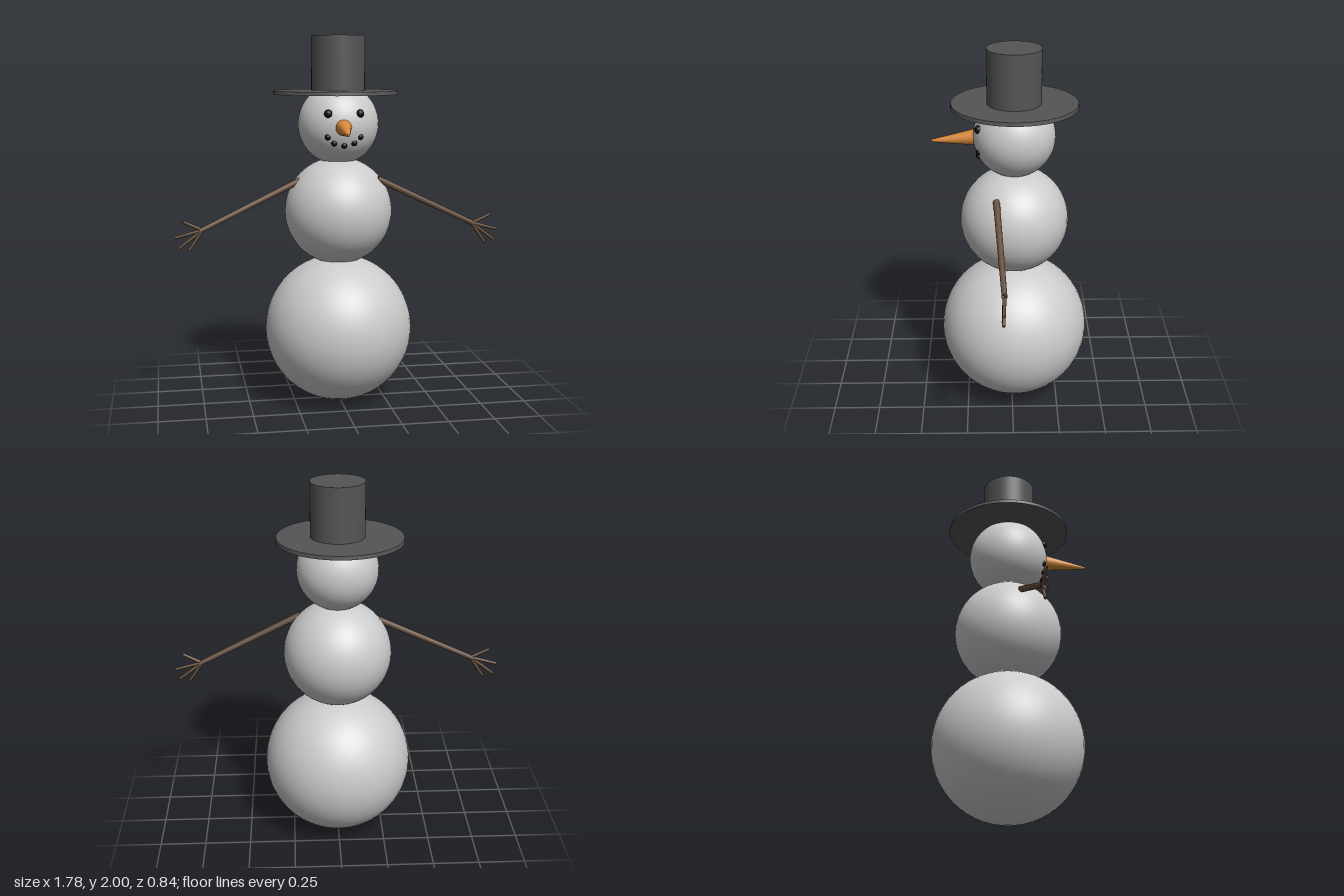
import * as THREE from 'three';

const material = (color) => new THREE.MeshStandardMaterial({ color });
const V = (x, y, z) => new THREE.Vector3(x, y, z);

function addMesh(parent, name, geometry, mat, position) {
  const mesh = new THREE.Mesh(geometry, mat);
  mesh.name = name;
  if (position) mesh.position.copy(position);
  parent.add(mesh);
  return mesh;
}

// Tapered round stick running from point a to point b
function addStick(parent, name, a, b, rA, rB, mat, sides = 12) {
  const dir = b.clone().sub(a);
  const mesh = addMesh(parent, name, new THREE.CylinderGeometry(rB, rA, dir.length(), sides), mat,
    a.clone().add(b).multiplyScalar(0.5));
  mesh.quaternion.setFromUnitVectors(V(0, 1, 0), dir.normalize());
  return mesh;
}

export function createModel() {
  const model = new THREE.Group();
  model.name = 'snowman';
  const snow = material(0xcccccc);
  const felt = material(0x555555);
  const coal = material(0x0c0c0c);
  const carrot = material(0xd8893c);
  const wood = material(0x66503f);
  const axisZ = -0.013;

  // Three stacked snowballs
  const headCentre = V(0, 1.53, axisZ);
  const headRadius = 0.218;
  const ball = (r) => new THREE.SphereGeometry(r, 48, 32);
  addMesh(model, 'lowerBody', ball(0.403), snow, V(0, 0.405, axisZ));
  addMesh(model, 'upperBody', ball(0.292), snow, V(0, 1.058, axisZ));
  addMesh(model, 'head', ball(headRadius), snow, headCentre);

  // Top hat
  const hat = new THREE.Group();
  hat.name = 'hat';
  addMesh(hat, 'hatBrim', new THREE.CylinderGeometry(0.334, 0.337, 0.02, 48), felt, V(-0.014, 1.699, -0.015));
  addMesh(hat, 'hatCrown', new THREE.CylinderGeometry(0.144, 0.144, 0.3, 48), felt, V(-0.001, 1.85, -0.012));
  model.add(hat);

  // Coal eyes and mouth, set on the front surface of the head
  const face = new THREE.Group();
  face.name = 'face';
  const addCoal = (name, x, y, r) => {
    const dy = y - headCentre.y;
    const z = axisZ + Math.sqrt(headRadius ** 2 - x * x - dy * dy);
    addMesh(face, name, new THREE.SphereGeometry(r, 16, 12), coal, V(x, y, z - 0.004));
  };
  for (const s of [-1, 1]) {
    addCoal(s > 0 ? 'leftEye' : 'rightEye', s * 0.084, 1.593, 0.022);
    addCoal('mouthCoal', s * 0.087, 1.471, 0.016);
    addCoal('mouthCoal', s * 0.053, 1.439, 0.016);
  }
  addCoal('mouthCoal', 0, 1.426, 0.016);
  model.add(face);

  // Carrot nose, drooping a little and turned slightly to the right
  addStick(model, 'nose', V(-0.005, 1.524, 0.17), V(-0.021, 1.497, 0.424), 0.047, 0.007, carrot, 24);

  // Stick arms with four twig fingers each
  const fingerTips = [[0.844, 1.026, 0.058], [0.888, 0.94, 0.052], [0.871, 0.88, 0.054], [0.815, 0.868, 0.055]];
  for (const s of [-1, 1]) {
    const arm = new THREE.Group();
    arm.name = s > 0 ? 'leftArm' : 'rightArm';
    const wristZ = s > 0 ? 0.048 : 0.055;
    addStick(arm, 'branch', V(s * 0.198, 1.238, s > 0 ? 0.084 : 0.025), V(s * 0.755, 0.973, wristZ), 0.018, 0.014, wood);
    for (const [x, y, z] of fingerTips) {
      addStick(arm, 'finger', V(s * 0.742, 0.978, wristZ), V(s * x, y, z), 0.01, 0.008, wood, 8);
    }
    model.add(arm);
  }
  return model;
}
